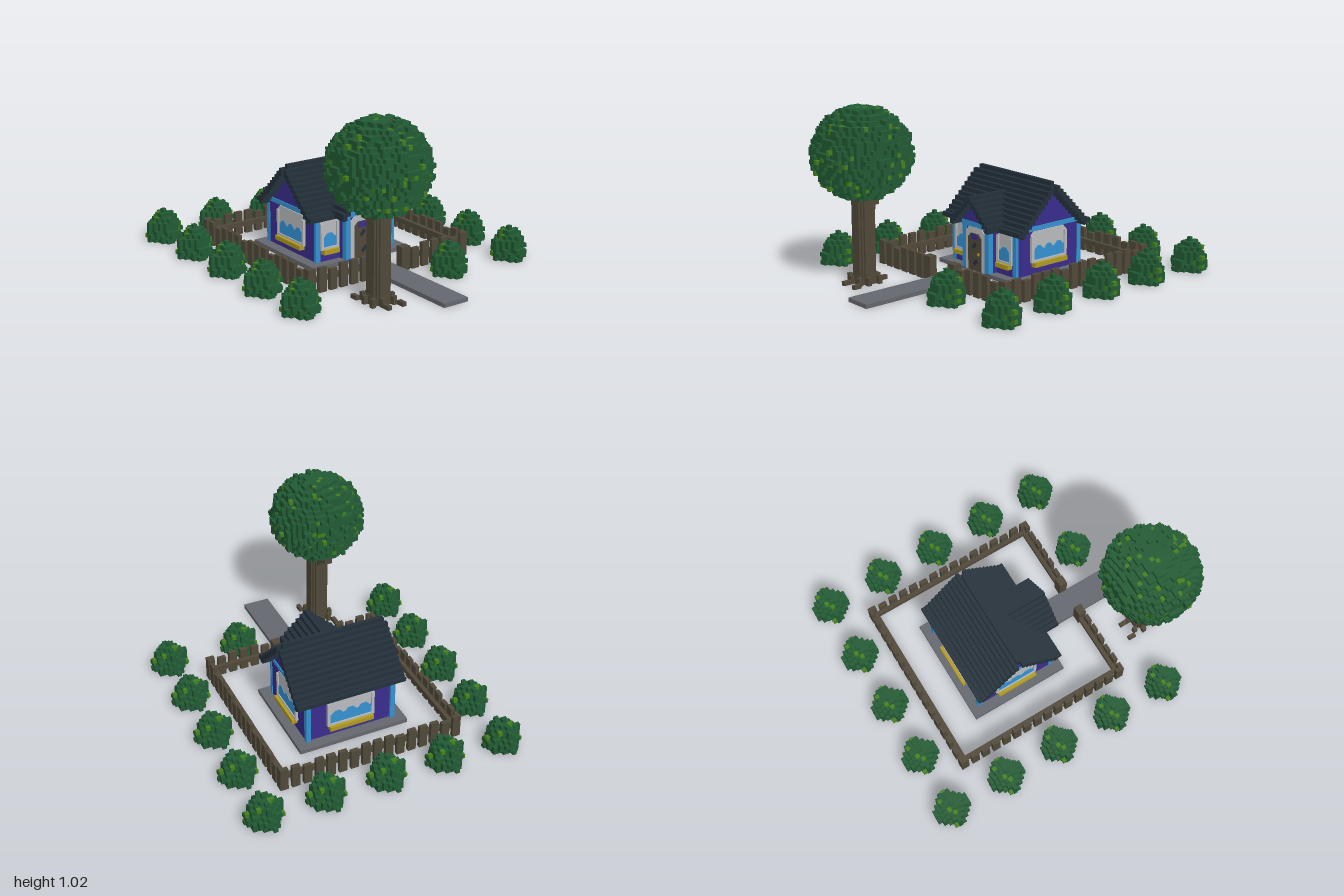
import * as THREE from 'three';

const V = 0.0247; // size of one block

const mat = (name, color) => {
  const m = new THREE.MeshStandardMaterial({ color });
  m.name = name;
  return m;
};

export function createModel() {
  const leaf = mat('leaf green', 0x215a33), lime = mat('light leaf green', 0x437f1c);
  const slate = mat('roof slate', 0x24303a), purple = mat('wall purple', 0x392c8c);
  const blue = mat('trim blue', 0x3492d2), pale = mat('pale grey', 0xb8babd);
  const wood = mat('wood brown', 0x504839), stone = mat('stone grey', 0x64676e);
  const yellow = mat('flower yellow', 0xb09a20);

  const model = new THREE.Group();
  model.name = 'cottageGarden';
  const group = (name, parent = model) => {
    const g = new THREE.Group();
    g.name = name;
    parent.add(g);
    return g;
  };
  // box from its limits on each axis
  const box = (parent, name, m, x0, x1, y0, y1, z0, z1) => {
    const mesh = new THREE.Mesh(new THREE.BoxGeometry(x1 - x0, y1 - y0, z1 - z0), m);
    mesh.position.set((x0 + x1) / 2, (y0 + y1) / 2, (z0 + z1) / 2);
    mesh.name = name;
    parent.add(mesh);
    return mesh;
  };
  const hash = (x, y, z) => {
    const s = Math.sin(x * 12.99 + y * 78.23 + z * 37.72) * 43758.5453;
    return s - Math.floor(s);
  };
  // outer faces of a block solid given by a rule; two leaf colours in two groups
  const foliage = (n, inside) => {
    const faces = [[], []];
    for (let x = -n; x <= n; x++) for (let y = -n; y <= n; y++) for (let z = -n; z <= n; z++) {
      if (!inside(x, y, z)) continue;
      const out = faces[hash(x + 3, y - 5, z + 9) < 0.07 ? 1 : 0];
      for (let a = 0; a < 3; a++) for (const s of [-1, 1]) {
        const p = [x, y, z];
        p[a] += s;
        if (inside(...p)) continue;
        const c = [[-1, -1], [1, -1], [1, 1], [-1, 1]].map(([u, w]) => {
          const q = [x, y, z];
          q[a] += s / 2;
          q[(a + 1) % 3] += u / 2;
          q[(a + 2) % 3] += w / 2;
          return q.map(t => t * V);
        });
        if (s < 0) c.reverse();
        for (const i of [0, 1, 2, 0, 2, 3]) out.push(...c[i]);
      }
    }
    const geo = new THREE.BufferGeometry();
    geo.setAttribute('position', new THREE.Float32BufferAttribute(faces[0].concat(faces[1]), 3));
    geo.addGroup(0, faces[0].length / 3, 0);
    geo.addGroup(faces[0].length / 3, faces[1].length / 3, 1);
    geo.computeVertexNormals();
    return geo;
  };

  // bushes
  const bushRadius = [4.2, 4.5, 4.5, 4.2, 3.7, 3, 2, 0.6];
  const bushGeo = foliage(9, (x, y, z) => y >= 0 && y < 8 &&
    Math.pow(Math.abs(x) ** 1.35 + Math.abs(z) ** 1.35, 1 / 1.35) <= bushRadius[y] + (hash(x, y, z) - 0.5) * 0.9
    && Math.max(Math.abs(x), Math.abs(z)) < 5);
  const spots = [[0.285, 0.6]];
  for (const x of [-0.745, -0.372, 0, 0.372, 0.745]) spots.push([x, -0.89]);
  for (const x of [-0.745, 0.745]) for (const z of [-0.515, -0.145, 0.23, 0.6]) spots.push([x, z]);
  for (const [x, z] of spots) {
    const b = new THREE.Mesh(bushGeo, [leaf, lime]);
    b.name = 'bush';
    b.position.set(x, V / 2, z);
    model.add(b);
  }

  // tree: crown, grooved trunk, roots and a branch
  const tree = group('tree');
  tree.position.set(-0.315, 0, 0.72);
  const crown = new THREE.Mesh(foliage(13, (x, y, z) =>
    Math.hypot(x, y * 1.06, z) <= 11.3 + (hash(x, y, z) - 0.5) * 0.9 && Math.max(Math.abs(x), Math.abs(z)) < 12), [leaf, lime]);
  crown.name = 'treeCrown';
  crown.position.y = 0.765;
  tree.add(crown);
  box(tree, 'trunk', wood, -0.058, 0.058, 0, 0.6, -0.034, 0.034);
  box(tree, 'trunk', wood, -0.034, 0.034, 0, 0.6, -0.058, 0.058);
  box(tree, 'trunkCore', wood, -0.046, 0.046, 0, 0.6, -0.046, 0.046);
  for (let i = 0; i < 8; i++) {
    const a = i * Math.PI / 4 + 0.2, n = 4 + (i * 3) % 4;
    for (let k = 2; k < n; k++) {
      const x = Math.round(Math.cos(a) * k) * V, z = Math.round(Math.sin(a) * k) * V;
      box(tree, 'root', wood, x - V / 2, x + V / 2, 0, k < 4 ? 2 * V : V, z - V / 2, z + V / 2);
    }
  }
  for (let k = 0; k < 5; k++) {
    const y = 0.43 + Math.min(k, 3) * V, z = -0.058 - k * V;
    box(tree, 'branch', wood, -V, V, y, y + 1.5 * V, z - V / 2, z + V);
  }

  // picket fence: four sides, front one with a gap for the path
  const fence = group('fence');
  fence.position.z = -0.145;
  for (let s = 0; s < 4; s++) {
    const side = group('fenceSide', fence);
    side.rotation.y = s * Math.PI / 2;
    for (let i = 0; i < 16; i++) {
      const x = -0.57 + i * (1.14 - 2 * V) / 15;
      if (s === 0 && x > -0.12 && x < 0.07) continue;
      box(side, 'picket', wood, x, x + 2 * V, 0, i % 4 === 2 ? 0.125 : 0.145, 0.545, 0.57);
    }
    for (const [x0, x1] of s ? [[-0.545, 0.545]] : [[-0.545, -0.08], [0.08, 0.545]])
      box(side, 'rail', wood, x0, x1, 0.055, 0.085, 0.52, 0.545);
  }
  for (const x of [-0.11, 0.11]) box(model, 'gatePost', wood, x - 0.03, x + 0.03, 0, 0.145, 0.375, 0.425);

  // path and base slab
  box(model, 'path', stone, -0.083, 0.083, 0, 0.025, 0.13, 1);
  const house = group('house');
  box(house, 'baseSlab', stone, -0.345, 0.345, 0.002, 0.027, -0.485, 0.14);
  box(house, 'slabUnderside', purple, -0.325, 0.325, 0, 0.006, -0.465, 0.12);

  // main body with stepped gables
  const Z = -0.17, zf = 0.08, zb = -0.42;
  box(house, 'walls', purple, -0.28, 0.28, 0.02, 0.3, zb, zf);
  for (let k = -10; k <= 10; k++) {
    const z = Z + k * V * 0.97;
    box(house, 'gableStep', purple, -0.28, 0.28, 0.295, (Math.max(13, 23 - Math.abs(k)) - 1) * V, z - V / 2, z + V / 2);
  }
  for (const s of [-1, 1]) {
    for (const z of [zf, zb]) box(house, 'cornerPost', blue, s * 0.27 - 0.015, s * 0.27 + 0.015, 0.027, 0.3, z - 0.015, z + 0.005 + (z > 0 ? 0 : 0.01));
    box(house, 'sideBand', blue, s * 0.2815 - 0.0045, s * 0.2815 + 0.0045, 0.288, 0.315, zb - 0.005, zf + 0.005);
  }
  box(house, 'frontBand', blue, -0.285, 0.285, 0.285, 0.31, zf - 0.004, zf + 0.005);
  box(house, 'backBand', blue, -0.285, 0.285, 0.285, 0.31, zb - 0.005, zb + 0.004);

  // main roof, one course per step
  for (let k = -11; k <= 11; k++) {
    const d = Math.abs(k), top = Math.max(12.7, 23.1 - d) * V, w = d ? 0.343 : 0.315, z = Z + k * V;
    box(house, 'roofCourse', slate, -w, w, top - (d > 10 ? 1 : 2) * V, top, z - V / 2, z + V / 2);
  }

  // porch with its own gable roof
  const porch = group('porch', house);
  const pf = 0.145, W = 0.0262;
  box(porch, 'porchWalls', purple, -0.113, 0.113, 0.02, 0.3, 0.06, pf - 0.002);
  for (let k = -4; k <= 4; k++)
    box(porch, 'porchGableStep', purple, (k - 0.5) * V, (k + 0.5) * V, 0.295, (18.4 - Math.abs(k)) * V, 0, pf);
  for (let k = -6; k <= 6; k++) {
    const d = Math.abs(k), top = 19.4 - d;
    box(porch, 'porchRoofCourse', slate, (k - 0.5) * W, (k + 0.5) * W, (top - 1.7) * V, top * V, Z + (22.6 - top) * V, 0.2);
  }
  for (const s of [-1, 1])
    box(porch, 'porchPost', blue, s * 0.1 - 0.017, s * 0.1 + 0.017, 0.027, 0.3, pf - 0.03, pf + 0.003);
  box(porch, 'porchBand', blue, -0.118, 0.118, 0.285, 0.318, 0.08, pf + 0.004);

  // arched plate standing on y = 0 with cut upper corners
  const arch = (parent, name, m, w, h, cut, y, z, depth) => {
    const s = new THREE.Shape([[-w, 0], [w, 0], [w, h - cut], [w - cut, h], [cut - w, h], [-w, h - cut]].map(p => new THREE.Vector2(...p)));
    const mesh = new THREE.Mesh(new THREE.ExtrudeGeometry(s, { depth, bevelEnabled: false }), m);
    mesh.name = name;
    mesh.position.set(0, y, z);
    parent.add(mesh);
    return mesh;
  };
  arch(porch, 'doorFrame', pale, 0.083, 0.262, 0.03, 0.027, pf - 0.004, 0.009);
  arch(porch, 'door', wood, 0.058, 0.225, 0.025, 0.027, pf + 0.001, 0.008);
  arch(porch, 'doorLight', purple, 0.03, 0.035, 0.012, 0.215, pf + 0.004, 0.008);
  for (const [x, y] of [[0, 0.18], [0.01, 0.08]]) {
    const d = box(porch, 'doorHinge', slate, -0.022, 0.022, -0.01, 0.01, -0.004, 0.004);
    d.position.set(x, y, pf + 0.008);
    d.rotation.z = 0.8;
  }
  box(porch, 'doorHandle', yellow, 0.033, 0.045, 0.125, 0.14, pf, pf + 0.018);

  // windows: frame, curtained pane, scalloped blue glass and flower box
  const addWindow = (x, z, turn, w) => {
    const g = group('window', house);
    g.position.set(x, 0, z);
    g.rotation.y = turn;
    arch(g, 'windowFrame', pale, w, 0.18, 0.022, 0.105, -0.002, 0.009);
    box(g, 'windowGlass', blue, 0.018 - w, w - 0.018, 0.115, 0.175, 0.001, 0.01);
    const n = Math.max(1, Math.round(w / 0.05));
    for (let i = 0; i < n; i++) {
      const step = 2 * (w - 0.022) / n, c = 0.022 - w + (i + 0.5) * step;
      arch(g, 'glassTop', blue, step * 0.38, 0.028, 0.018, 0.17, 0.001, 0.009).position.x = c;
    }
    for (const s of [-1, 1]) box(g, 'windowJamb', pale, s * (w - 0.009) - 0.009, s * (w - 0.009) + 0.009, 0.105, 0.26, 0, 0.016);
    box(g, 'windowSill', pale, -w, w, 0.1, 0.115, 0, 0.016);
    box(g, 'flowerBox', yellow, 0.01 - w, w - 0.01, 0.075, 0.102, 0, 0.035);
  };
  for (const s of [-1, 1]) {
    addWindow(s * 0.19, zf, 0, 0.065);
    addWindow(s * 0.28, Z, s * Math.PI / 2, 0.14);
  }
  addWindow(0, zb, Math.PI, 0.15);
  return model;
}
